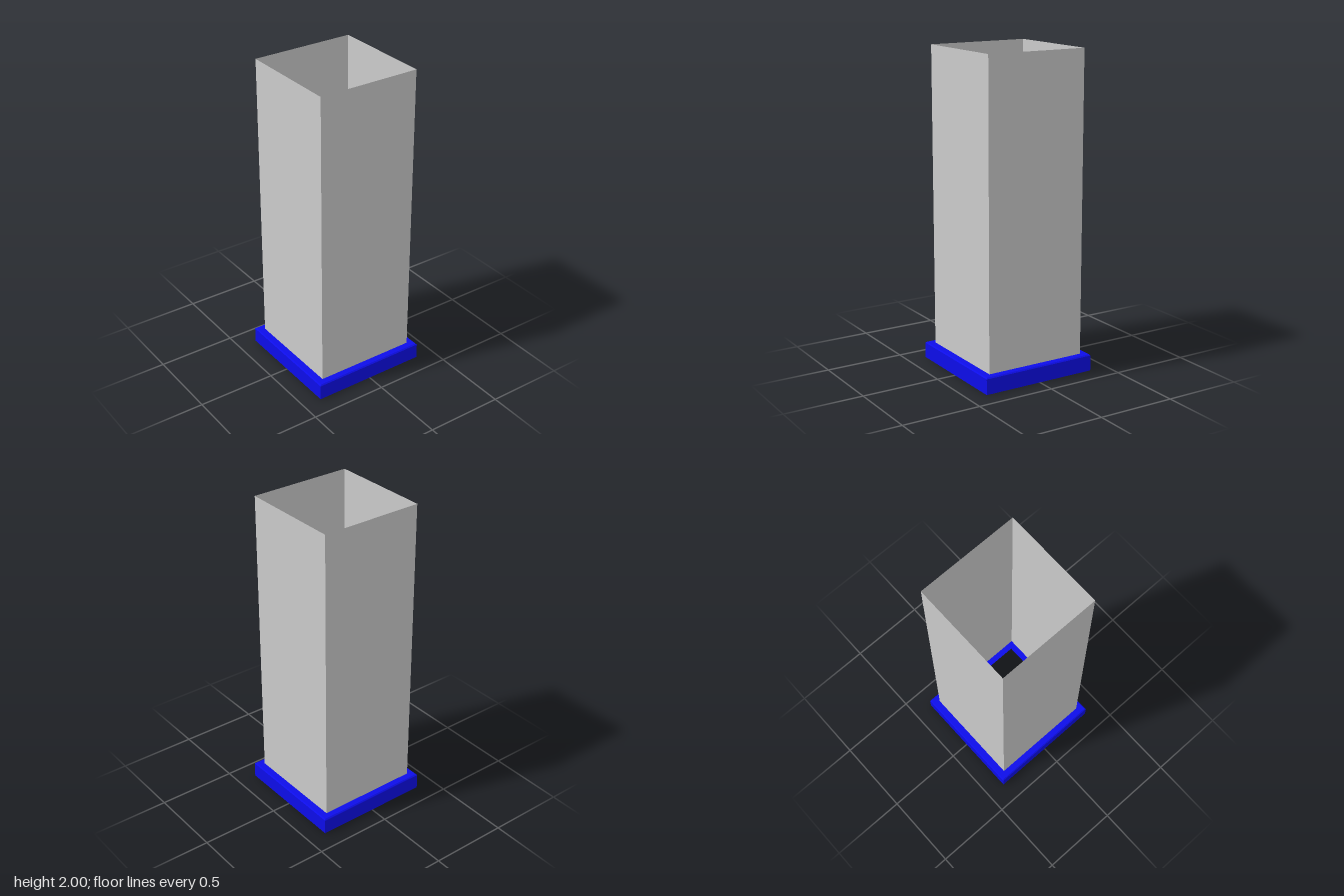
import * as THREE from 'three';

// Sweeps a [half-width, height] profile around a square plan.
function squareSweep(name, profile, color) {
  const points = profile.map(([half, y]) => new THREE.Vector2(half * Math.SQRT2, y));
  const geometry = new THREE.LatheGeometry(points, 4, Math.PI / 4).toNonIndexed();
  geometry.computeVertexNormals();
  const material = new THREE.MeshStandardMaterial({ color, side: THREE.DoubleSide, flatShading: true });
  const mesh = new THREE.Mesh(geometry, material);
  mesh.name = name;
  return mesh;
}

export function createModel() {
  const model = new THREE.Group();
  model.name = 'squarePost';

  // Thin square tube, open at both ends
  model.add(squareSweep('postTube', [[0.33, 0], [0.33, 2]], 0xcccccc));

  // Hollow base collar: outer wall, small bevel and a top plate reaching inside the tube
  model.add(squareSweep('baseCollar', [[0.377, 0], [0.377, 0.098], [0.37, 0.105], [0.29, 0.105]], 0x0d0dea));

  return model;
}
